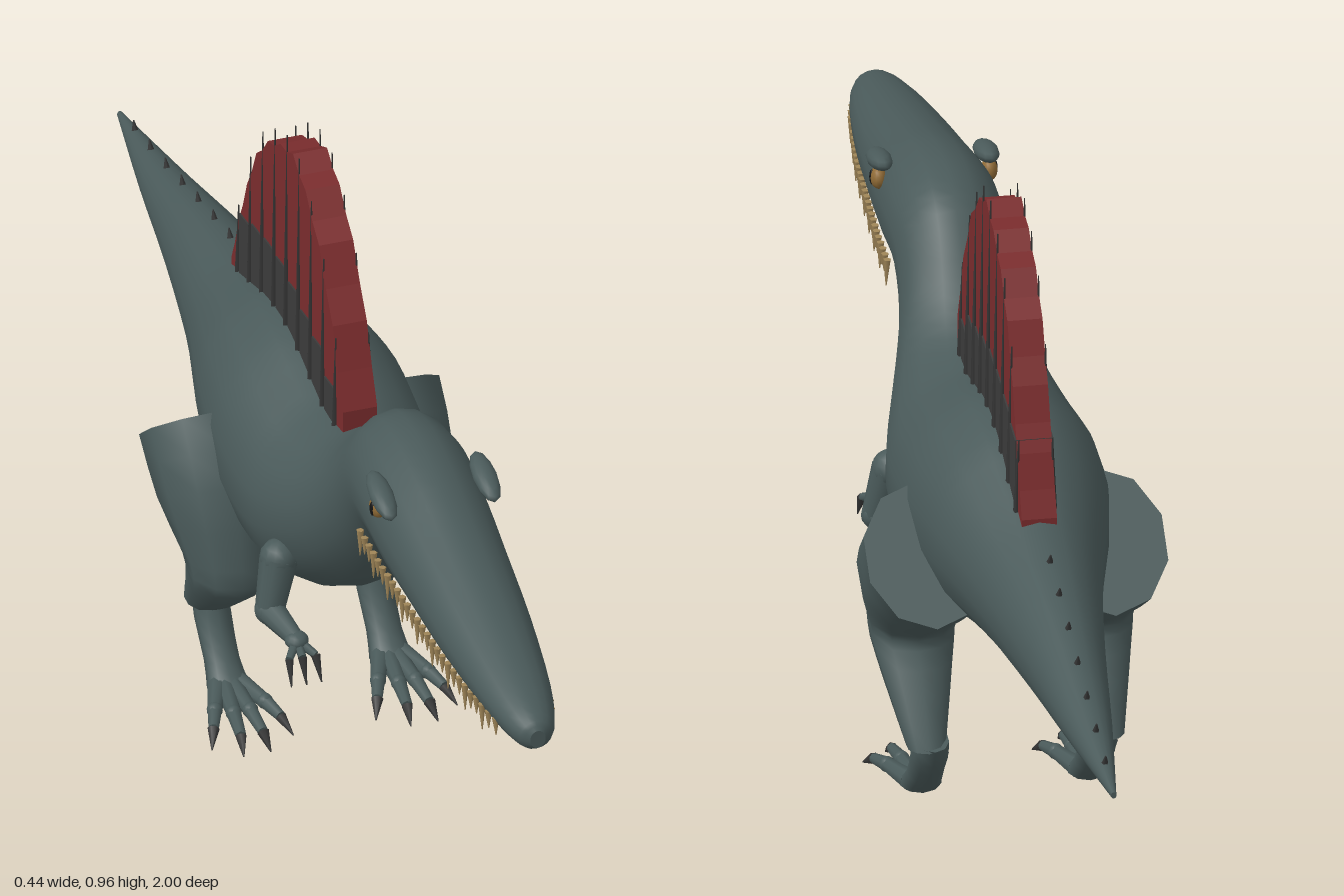
import * as THREE from 'three';

const flat = (name, color) => {
  const m = new THREE.MeshStandardMaterial({ color });
  m.name = name;
  return m;
};
const V = (x, y, z) => new THREE.Vector3(x, y, z);

// Skin through elliptical rings. Each ring: [z, y of one edge, z, y of the opposite edge, half width].
function loft(rings, sides, cx = 0, sub = 1) {
  const ca = new THREE.CatmullRomCurve3(rings.map(r => V(r[4], r[1], r[0])), false, 'catmullrom', 0.5);
  const cb = new THREE.CatmullRomCurve3(rings.map(r => V(r[4], r[3], r[2])), false, 'catmullrom', 0.5);
  const n = (rings.length - 1) * sub, pos = [], idx = [];
  const ring = i => {
    const a = ca.getPoint(i / n), b = cb.getPoint(i / n);
    for (let j = 0; j <= sides; j++) {
      const t = (j / sides) * Math.PI * 2, c = Math.cos(t) / 2;
      pos.push(cx + Math.sin(t) * a.x, (a.y + b.y) / 2 + c * (a.y - b.y), (a.z + b.z) / 2 + c * (a.z - b.z));
    }
    return [cx, (a.y + b.y) / 2, (a.z + b.z) / 2];
  };
  for (let i = 0; i <= n; i++) ring(i);
  const w = sides + 1;
  for (let i = 0; i < n; i++) for (let j = 0; j < sides; j++) {
    const p = i * w + j;
    idx.push(p, p + 1, p + w, p + 1, p + w + 1, p + w);
  }
  // Flat caps with their own vertices
  for (const end of [0, n]) {
    const base = pos.length / 3, c = ring(end), mid = pos.length / 3;
    pos.push(...c);
    for (let j = 0; j < sides; j++) {
      if (end) idx.push(mid, base + j, base + j + 1);
      else idx.push(mid, base + j + 1, base + j);
    }
  }
  const g = new THREE.BufferGeometry();
  g.setAttribute('position', new THREE.Float32BufferAttribute(pos, 3));
  g.setIndex(idx);
  g.computeVertexNormals();
  // Close the shading seam
  const nr = g.attributes.normal;
  for (let i = 0; i <= n; i++) {
    const p = i * w, q = p + sides;
    const v = V(nr.getX(p) + nr.getX(q), nr.getY(p) + nr.getY(q), nr.getZ(p) + nr.getZ(q)).normalize();
    nr.setXYZ(p, v.x, v.y, v.z);
    nr.setXYZ(q, v.x, v.y, v.z);
  }
  return g;
}

// Tapered round bar from a to b
function taper(a, b, ra, rb, sides = 8) {
  const d = b.clone().sub(a);
  const g = new THREE.CylinderGeometry(rb, ra, d.length(), sides);
  g.applyQuaternion(new THREE.Quaternion().setFromUnitVectors(V(0, 1, 0), d.clone().normalize()));
  const m = a.clone().add(b).multiplyScalar(0.5);
  return g.translate(m.x, m.y, m.z);
}

const BODY = [
  [1.0, .645, 1.0, .615, .012], [.98, .662, .98, .605, .032], [.9, .682, .9, .601, .052],
  [.75, .715, .75, .592, .07], [.6, .75, .6, .585, .08], [.5, .774, .5, .581, .086],
  [.4, .783, .43, .586, .088], [.32, .765, .37, .568, .085], [.265, .715, .32, .515, .087],
  [.215, .66, .27, .45, .1], [.15, .62, .21, .385, .12], [.07, .607, .13, .325, .142],
  [0, .618, .05, .293, .152], [-.1, .637, -.08, .287, .153], [-.2, .627, -.2, .308, .138],
  [-.28, .6, -.28, .33, .12], [-.4, .56, -.4, .346, .092], [-.6, .512, -.6, .366, .06],
  [-.8, .458, -.8, .388, .034], [-1, .415, -1, .405, .004],
];
// Rows run from the back edge to the front edge of the leg
const THIGH = [
  [-.28, .355, -.1, .51, .093], [-.2, .31, -.03, .42, .09],
  [-.135, .275, .0, .29, .067], [-.13, .25, -.005, .24, .062],
  [-.17, .195, -.07, .18, .047], [-.217, .125, -.15, .122, .029],
];
const SHANK = [
  [-.219, .128, -.145, .14, .026], [-.2, .095, -.13, .1, .027],
  [-.15, .045, -.1, .06, .026], [-.115, .015, -.07, .035, .032],
];
// Crest outline as z, y
const CREST = [[.15, .65], [.1, .77], [.035, .87], [-.03, .925], [-.09, .95], [-.15, .928],
  [-.21, .893], [-.265, .835], [-.31, .75], [-.35, .66], [-.385, .57]];

// Linear lookup in a descending table
function lookup(table, z, col) {
  for (let i = 1; i < table.length; i++) {
    const a = table[i - 1], b = table[i];
    if (z >= b[0]) return a[col] + (b[col] - a[col]) * (a[0] - z) / (a[0] - b[0]);
  }
  return table[table.length - 1][col];
}

export function createModel() {
  const model = new THREE.Group();
  const skin = flat('skin', 0x4a5a5a), red = flat('crestRed', 0x7a2c2d), dark = flat('crestBase', 0x3b3b3b);
  const ivory = flat('ivory', 0xa08658), claw = flat('claw', 0x353535);
  const amber = flat('amber', 0x8f6a35), black = flat('pupil', 0x141414);
  const add = (name, geo, mat, parent = model) => {
    const m = new THREE.Mesh(geo, mat);
    m.name = name;
    parent.add(m);
    return m;
  };
  const group = name => {
    const g = new THREE.Group();
    g.name = name;
    model.add(g);
    return g;
  };
  const ball = (name, p, r, mat, parent) => {
    const m = add(name, new THREE.SphereGeometry(1, 12, 8), mat, parent);
    m.position.copy(p);
    m.scale.set(...r);
    return m;
  };

  add('body', loft(BODY, 18, 0, 3), skin);

  // Crest slab with notched edge
  const edge = [];
  CREST.forEach(([z, y], i) => {
    edge.push([z, y]);
    const nx = CREST[i + 1];
    if (nx) edge.push([(z + nx[0]) / 2, (y + nx[1]) / 2 - .006]);
  });
  const slab = (pts, half) => {
    const shape = new THREE.Shape(pts.map(([z, y]) => new THREE.Vector2(-z, y)));
    return new THREE.ExtrudeGeometry(shape, { depth: half * 2, bevelEnabled: false })
      .translate(0, 0, -half).rotateY(Math.PI / 2);
  };
  add('crest', slab([[.15, .59], ...edge, [-.385, .53], [-.1, .58]], .026), red);

  // Dark stubs along the foot of the crest, and thin spines on both faces
  const stubs = group('crestStubs'), spines = group('crestSpines');
  for (let i = 0; i < 9; i++) {
    const z = .115 - i * .058, base = lookup(BODY, z, 1) - .03, top = lookup(CREST, z, 1);
    const h = Math.min(base + .12, base + (top - base) * .55);
    if (i < 8) add('stub', slab([[z - .006, base], [z - .006, h], [z - .05, h - .008], [z - .05, base]], .0285), dark, stubs);
    for (const s of [-1, 1])
      add('spine', taper(V(s * .028, base, z), V(s * .025, top + .022, z - .004), .006, .001, 5), claw, spines);
  }

  // Small studs down the tail
  const studs = group('tailStuds');
  for (let i = 0; i < 7; i++) {
    const z = -.47 - i * .076, y = lookup(BODY, z, 1);
    add('stud', taper(V(0, y - .008, z), V(0, y + .012, z - .008), .007, .001, 5), claw, studs);
  }

  for (const s of [-1, 1]) {
    const side = s > 0 ? 'left' : 'right';

    // Teeth
    const teeth = group(side + 'Teeth');
    for (let i = 0; i < 27; i++) {
      const z = .41 + i * .02, x = s * lookup(BODY, z, 4) * .95;
      const y = .627 + (z > .85 ? .004 : 0), len = i % 3 ? .028 : .043;
      add('tooth', taper(V(x, y, z), V(x * 1.01, y - len, z + .003), .006, .0008, 5), ivory, teeth);
    }

    // Eye under a brow ridge
    const eye = group(side + 'Eye');
    ball('eyeball', V(s * .082, .722, .49), [.012, .017, .017], amber, eye);
    ball('pupil', V(s * .091, .722, .493), [.004, .012, .006], black, eye);
    const brow = ball('brow', V(s * .079, .747, .5), [.018, .014, .052], skin, eye);
    brow.rotation.x = .2;

    // Leg
    const leg = group(side + 'Leg');
    add('thighAndShin', loft(THIGH, 10, s * .132, 2), skin, leg);
    add('shank', loft(SHANK, 10, s * .124, 2), skin, leg);
    for (const [dx, z] of [[-.05, .0], [-.014, .03], [.02, .03], [.052, 0]]) {
      const root = V(s * (.124 + dx * .3), .028, -.095);
      const mid = V(s * (.124 + dx * .75), .028, (z - .095) / 2 + .012);
      const tip = V(s * (.124 + dx), .022, z);
      add('toe', taper(root, mid, .016, .011), skin, leg);
      ball('knuckle', mid, [.012, .012, .012], skin, leg);
      add('toeTip', taper(mid, tip, .011, .008), skin, leg);
      add('claw', taper(tip, V(s * (.124 + dx * 1.22), .004, z + .028), .009, .001, 6), claw, leg);
    }

    // Arm
    const arm = group(side + 'Arm');
    const shoulder = V(s * .124, .415, .15), elbow = V(s * .143, .336, .165), wrist = V(s * .126, .328, .24);
    add('upperArm', taper(shoulder, elbow, .029, .022, 10), skin, arm);
    ball('shoulder', shoulder, [.029, .029, .029], skin, arm);
    ball('elbow', elbow, [.023, .023, .023], skin, arm);
    add('forearm', taper(elbow, wrist, .022, .013, 10), skin, arm);
    ball('hand', wrist, [.018, .013, .018], skin, arm);
    for (const dx of [-.02, 0, .02]) {
      const joint = V(s * (.126 + dx), .316, .268);
      add('finger', taper(wrist, joint, .008, .006, 6), skin, arm);
      add('fingerClaw', taper(joint, V(s * (.126 + dx * 1.15), .28, .288), .007, .001, 6), claw, arm);
    }
  }
  return model;
}
